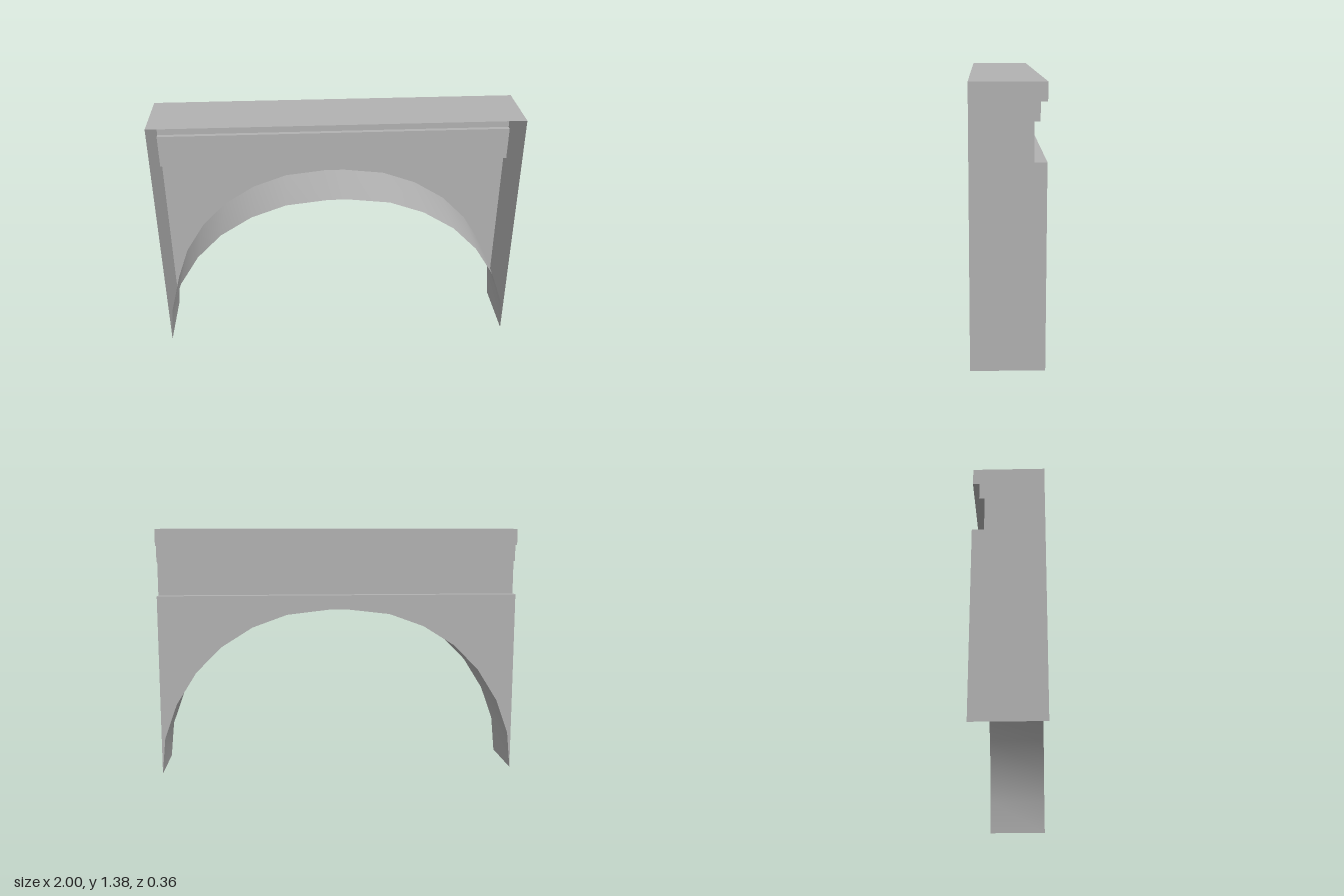
import * as THREE from 'three';

const HALF = 1, DEPTH = 0.18, LEDGE = 1.01, TOP = 1.375;

// Open sheet swept between two matching rows of points
function sheet(rowA, rowB, smooth) {
  const index = [];
  const n = rowA.length;
  for (let i = 0; i < n - 1; i++) index.push(i, i + 1, n + i, i + 1, n + i + 1, n + i);
  let g = new THREE.BufferGeometry().setFromPoints([...rowA, ...rowB]);
  g.setIndex(index);
  if (!smooth) g = g.toNonIndexed();
  g.computeVertexNormals();
  return g;
}

export function createModel() {
  const group = new THREE.Group();
  const stone = new THREE.MeshStandardMaterial({ color: 0xb2b2b2, side: THREE.DoubleSide });
  stone.name = 'grey stone';
  const add = (name, geometry) => {
    const mesh = new THREE.Mesh(geometry, stone);
    mesh.name = name;
    group.add(mesh);
    return mesh;
  };

  // Arch curve, mirrored about the centre
  const half = [[-1, 0], [-0.98, 0.205], [-0.91, 0.4], [-0.797, 0.58], [-0.657, 0.722],
    [-0.48, 0.833], [-0.287, 0.903], [-0.055, 0.93]];
  const arch = [...half, ...half.map(([x, y]) => [-x, y]).reverse()];

  // Curved underside of the arch
  const archRow = z => arch.map(([x, y]) => new THREE.Vector3(x, y, z));
  add('archSoffit', sheet(archRow(DEPTH), archRow(-DEPTH), true));

  // Back wall around the arch, up to the ledge
  const wall = new THREE.Shape([[-HALF, LEDGE], ...arch, [HALF, LEDGE]]
    .map(([x, y]) => new THREE.Vector2(x, y)));
  const back = new THREE.ShapeGeometry(wall);
  back.rotateY(Math.PI); // symmetric, so it now faces -z
  back.translate(0, 0, -DEPTH);
  add('backWall', back);

  // Ledge, recessed band, stepped cornice and flat top (z, y); the front stays open
  const steps = [[-DEPTH, LEDGE], [-0.12, LEDGE], [-0.12, 1.195], [-0.147, 1.195],
    [-0.147, 1.285], [-DEPTH, 1.285], [-DEPTH, TOP], [DEPTH, TOP]];
  const stepRow = x => steps.map(([z, y]) => new THREE.Vector3(x, y, z));
  add('corniceAndTop', sheet(stepRow(-HALF), stepRow(HALF), false));

  // End walls follow the same stepped outline
  const outline = new THREE.Shape([[DEPTH, 0], [-DEPTH, 0], ...steps]
    .map(([z, y]) => new THREE.Vector2(-z, y)));
  const mirrored = new THREE.Shape([[DEPTH, 0], [-DEPTH, 0], ...steps]
    .map(([z, y]) => new THREE.Vector2(z, y)));
  add('leftEndWall', new THREE.ShapeGeometry(outline).rotateY(Math.PI / 2).translate(HALF, 0, 0));
  add('rightEndWall', new THREE.ShapeGeometry(mirrored).rotateY(-Math.PI / 2).translate(-HALF, 0, 0));

  return group;
}
